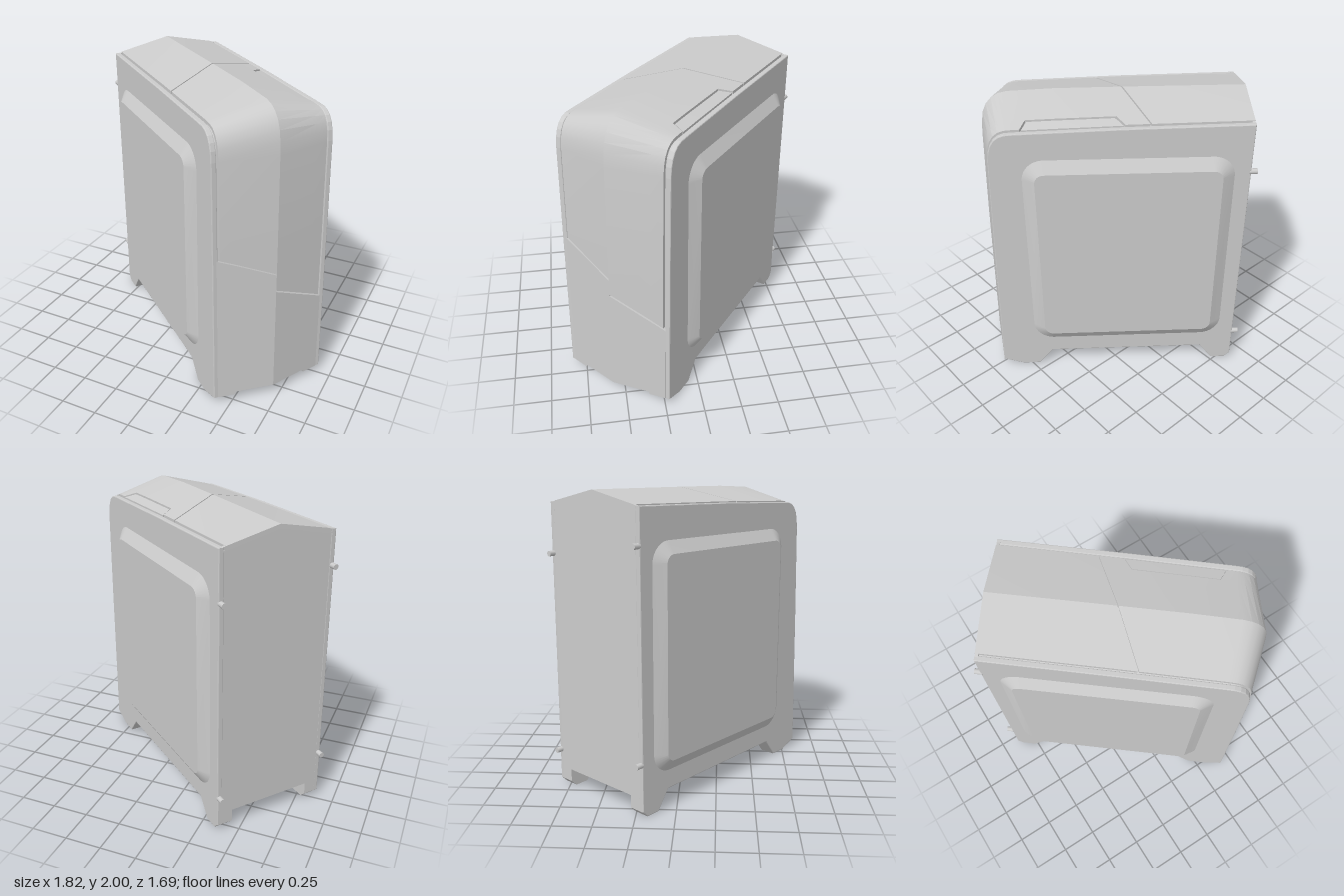
import * as THREE from 'three';
import { toCreasedNormals } from 'three/addons/utils/BufferGeometryUtils.js';

const grey = new THREE.MeshStandardMaterial({ color: 0xcccccc });
const greyBoth = new THREE.MeshStandardMaterial({ color: 0xcccccc, side: THREE.DoubleSide });

// Shell profile from the bottom front over the top to the back:
// [s, y and z on the centre ridge, y and z at the outer edge]. On top s = 2.72 - z.
const EDGE = 0.4;
const profile = [
  [0.05, 0.05, 0.92, 0.05, 0.847],
  [1.08, 1.08, 0.897, 1.08, 0.822],
  [1.70, 1.70, 0.878, 1.70, 0.803],
  [1.78, 1.78, 0.872, 1.765, 0.795],
  [1.84, 1.85, 0.860, 1.81, 0.780],
  [1.90, 1.905, 0.835, 1.845, 0.757],
  [1.95, 1.945, 0.800, 1.868, 0.727],
  [1.98, 1.972, 0.755, 1.88, 0.690],
  [2.02, 1.985, 0.700, 1.883, 0.640],
  [2.32, 1.998, 0.400, 1.89, 0.400],
  [2.72, 2.0, 0.0, 1.902, 0.0],
  [3.53, 2.0, -0.81, 1.915, -0.81],
];
const keys = profile.map((p) => p[0]);
const S_END = 3.53;

function shellPoint(x, s) {
  s = THREE.MathUtils.clamp(s, 0.05, S_END);
  let i = 0;
  while (i < profile.length - 2 && s > profile[i + 1][0]) i++;
  const a = profile[i], b = profile[i + 1];
  const t = (s - a[0]) / (b[0] - a[0]), w = Math.abs(x) / EDGE;
  const at = (c, e) => THREE.MathUtils.lerp(
    THREE.MathUtils.lerp(a[c], b[c], t), THREE.MathUtils.lerp(a[e], b[e], t), w);
  return new THREE.Vector3(x, at(1, 3), at(2, 4));
}

// Point moved inwards from the shell
function insetPoint(x, s, inset) {
  const p = shellPoint(x, s);
  const d = shellPoint(x, s + 0.02).sub(shellPoint(x, s - 0.02)).normalize();
  p.y += d.z * inset;
  p.z -= d.y * inset;
  return p;
}

// Shell panel with turned-in rims; columns are [x, start s, end s]
function panel(name, columns, inset = 0, depth = 0.022) {
  const rows = [0, ...keys, 9];
  const nR = rows.length, nC = columns.length;
  const point = (r, c) => {
    const rim = r < 0 || c < 0 || r >= nR || c >= nC;
    const [x, lo, hi] = columns[THREE.MathUtils.clamp(c, 0, nC - 1)];
    const s = THREE.MathUtils.clamp(rows[THREE.MathUtils.clamp(r, 0, nR - 1)], lo, hi);
    return insetPoint(x, s, inset + (rim ? depth : 0));
  };
  const pos = [];
  for (let r = -1; r < nR; r++) {
    for (let c = -1; c < nC; c++) {
      const a = point(r, c), b = point(r, c + 1), d = point(r + 1, c), e = point(r + 1, c + 1);
      for (const p of [a, b, e, a, e, d]) pos.push(p.x, p.y, p.z);
    }
  }
  const g = new THREE.BufferGeometry();
  g.setAttribute('position', new THREE.Float32BufferAttribute(pos, 3));
  const mesh = new THREE.Mesh(toCreasedNormals(g, 0.34), greyBoth);
  mesh.name = name;
  return mesh;
}

// Plate on side k, from a [z, y] outline, growing outwards from |x| = start to end
function sidePlate(name, k, outline, start, end, bevel) {
  const shape = new THREE.Shape(outline.map(([z, y]) => new THREE.Vector2(-k * z, y)));
  const g = new THREE.ExtrudeGeometry(shape, {
    depth: end - start - 2 * bevel, bevelThickness: bevel, bevelSize: bevel,
    bevelOffset: -bevel, bevelSegments: 2, bevelEnabled: bevel > 0,
  });
  g.rotateY(k * Math.PI / 2).translate(k * (start + bevel), 0, 0);
  const mesh = new THREE.Mesh(g, grey);
  mesh.name = name;
  return mesh;
}

// Raised rounded window with a sloping border
function sideWindow(k) {
  const [z0, z1, y0, y1, r] = [-0.63, 0.53, 0.33, 1.63, 0.06];
  const a = k > 0 ? -z1 : z0, b = k > 0 ? -z0 : z1;
  const s = new THREE.Shape();
  s.absarc(b - r, y0 + r, r, -Math.PI / 2, 0);
  s.absarc(b - r, y1 - r, r, 0, Math.PI / 2);
  s.absarc(a + r, y1 - r, r, Math.PI / 2, Math.PI);
  s.absarc(a + r, y0 + r, r, Math.PI, Math.PI * 1.5);
  const g = new THREE.ExtrudeGeometry(s, {
    depth: 0.01, bevelThickness: 0.048, bevelSize: 0.078, bevelSegments: 1, curveSegments: 10,
  });
  g.rotateY(k * Math.PI / 2).translate(k * 0.39, 0, 0);
  const mesh = new THREE.Mesh(toCreasedNormals(g, 0.5), grey);
  mesh.name = k > 0 ? 'leftWindow' : 'rightWindow';
  return mesh;
}

export function createModel() {
  const model = new THREE.Group();
  model.name = 'computerCase';
  const body = new THREE.Group();
  body.name = 'caseBody';
  body.rotation.y = 0.89;
  model.add(body);

  // Inner shell that shows in the gaps
  body.add(panel('innerShell', [[-0.38, 0.08, S_END], [0, 0.08, S_END], [0.38, 0.08, S_END]], 0.02, 0.01));

  // Lower front with the stepped upper edge and a slot at the bottom
  const gap = 0.014;
  body.add(panel('lowerFront', [
    [-0.372, 0.05, 1.085 - gap], [-0.26, 0.05, 1.04 - gap], [-0.25, 0.07, 1.036 - gap],
    [0, 0.07, 0.93 - gap], [0, 0.07, 0.81 - gap],
    [0.25, 0.07, 0.692 - gap], [0.26, 0.05, 0.688 - gap], [0.372, 0.05, 0.635 - gap],
  ]));

  // Upper front, running over onto the top as far as the slanted seam
  const seam = (x) => 2.74 + 0.45 * x;
  body.add(panel('upperFrontAndTop', [
    [-0.355, 1.08, seam(-0.355)], [0, 0.93, seam(0)], [0, 0.81, seam(0)],
    [0.276, 0.68, seam(0.276)], [0.276, 0.68, 2.12], [0.355, 0.64, 2.075],
  ]));
  body.add(panel('topCorner', [[0.276, 2.70, seam(0.276)], [0.355, 2.75, seam(0.355)]]));
  body.add(panel('portStrip', [[0.284, 2.13, 2.69], [0.355, 2.085, 2.74]], 0.006));
  const back = (x) => [x, seam(x) + 0.01, S_END];
  body.add(panel('rearTop', [back(-0.355), back(0), back(0.355)]));

  // Back plate
  const backShape = new THREE.Shape([[-0.39, 0.125], [0.39, 0.125], [0.39, 1.915], [0, 1.998], [-0.39, 1.915]]
    .map(([x, y]) => new THREE.Vector2(x, y)));
  const backPlate = new THREE.Mesh(new THREE.ExtrudeGeometry(backShape, { depth: 0.02, bevelEnabled: false }), grey);
  backPlate.position.z = -0.808;
  backPlate.name = 'backPlate';
  body.add(backPlate);

  // Floor and the deeper front base
  const floor = new THREE.Mesh(new THREE.BoxGeometry(0.76, 0.03, 1.5), grey);
  floor.position.set(0, 0.14, -0.05);
  floor.name = 'floor';
  body.add(floor);
  const baseShape = new THREE.Shape([[-0.37, -0.62], [-0.37, -0.835], [0, -0.9], [0.37, -0.835], [0.37, -0.62]]
    .map(([x, y]) => new THREE.Vector2(x, y)));
  const base = new THREE.Mesh(new THREE.ExtrudeGeometry(baseShape, { depth: 0.07, bevelEnabled: false }), grey);
  base.rotation.x = -Math.PI / 2;
  base.position.y = 0.07;
  base.name = 'frontBase';
  body.add(base);

  // Side panels, windows, feet and thumb screws
  const frontFoot = [[0.49, 0.125], [0.59, 0], [0.71, 0], [0.8, 0.05], [0.8, 0.125]];
  const rearFoot = [[-0.808, 0.125], [-0.808, 0.04], [-0.768, 0], [-0.67, 0], [-0.58, 0.125]];
  const edge = keys.map((s) => { const p = shellPoint(0.385, s); return [p.z, p.y]; });
  const outline = [...rearFoot.slice(1), ...frontFoot.slice(0, 3), ...edge];
  for (const k of [-1, 1]) {
    const side = k > 0 ? 'left' : 'right';
    body.add(sidePlate(side + 'Panel', k, outline, 0.364, 0.4, 0.006));
    body.add(sideWindow(k));
    body.add(sidePlate(side + 'FrontFoot', k, frontFoot, 0.29, 0.39, 0));
    body.add(sidePlate(side + 'RearFoot', k, rearFoot, 0.29, 0.39, 0));
    for (const y of k > 0 ? [0.25, 1.59] : [0.35, 1.69]) {
      const screw = new THREE.Mesh(new THREE.CylinderGeometry(0.018, 0.018, 0.05, 12), grey);
      screw.rotation.x = Math.PI / 2;
      screw.position.set(k * 0.385, y, -0.825);
      screw.name = side + 'ThumbScrew';
      body.add(screw);
    }
  }
  return model;
}
